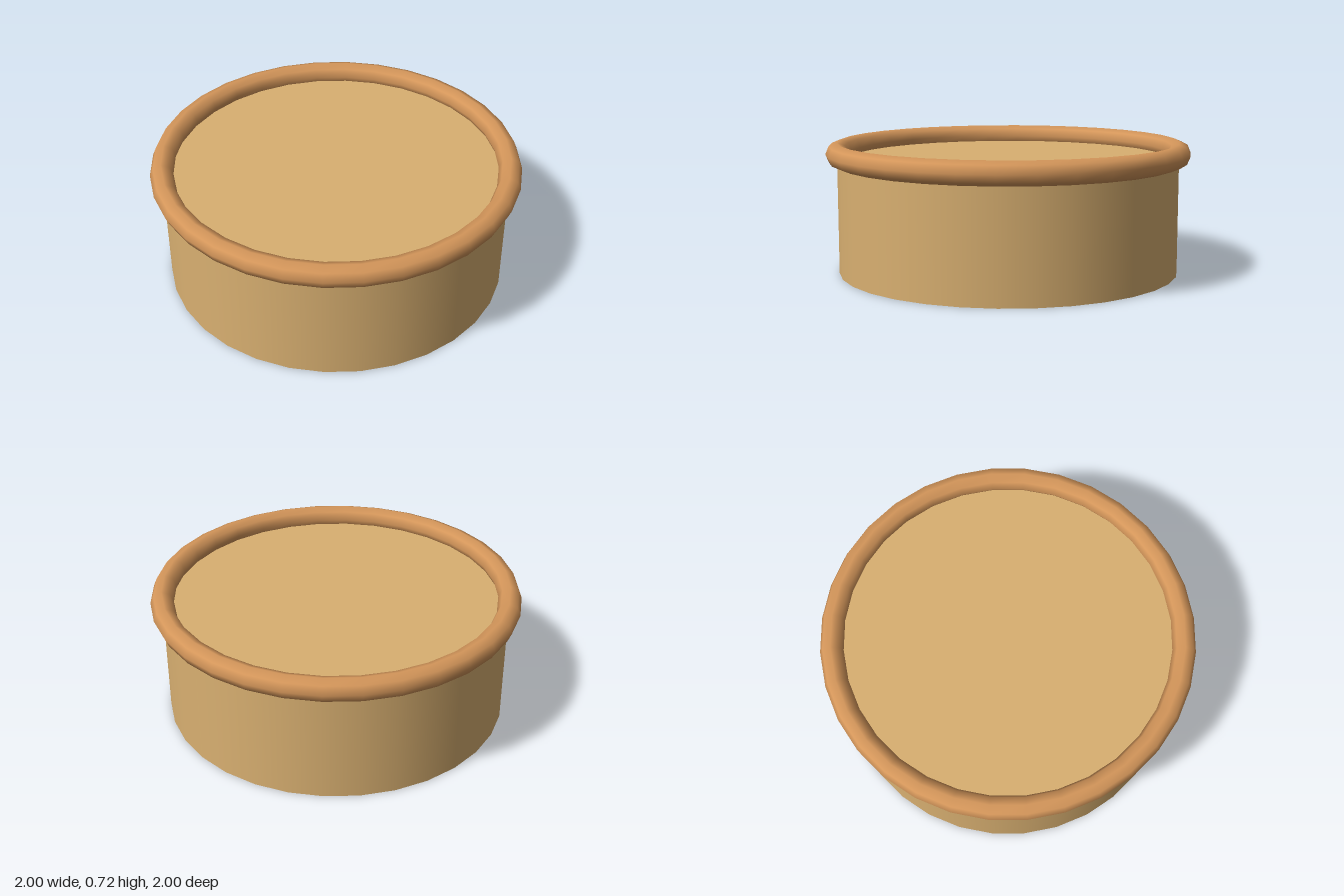
import * as THREE from 'three';

export function createModel() {
  const group = new THREE.Group();
  group.name = 'roundTub';

  const add = (name, geometry, color, y) => {
    const mesh = new THREE.Mesh(geometry, new THREE.MeshStandardMaterial({ color }));
    mesh.name = name;
    mesh.position.y = y;
    group.add(mesh);
    return mesh;
  };

  const radius = 0.9375, height = 0.625, tube = 0.0625, sides = 32;

  // Solid drum with flat top and bottom
  add('body', new THREE.CylinderGeometry(radius, radius, height, sides), 0xd9b071, height / 2);

  // Rounded rim resting on the top edge
  const rim = new THREE.TorusGeometry(radius, tube, 8, sides).rotateX(Math.PI / 2);
  add('rim', rim, 0xd4965a, height + tube / 2);

  return group;
}
